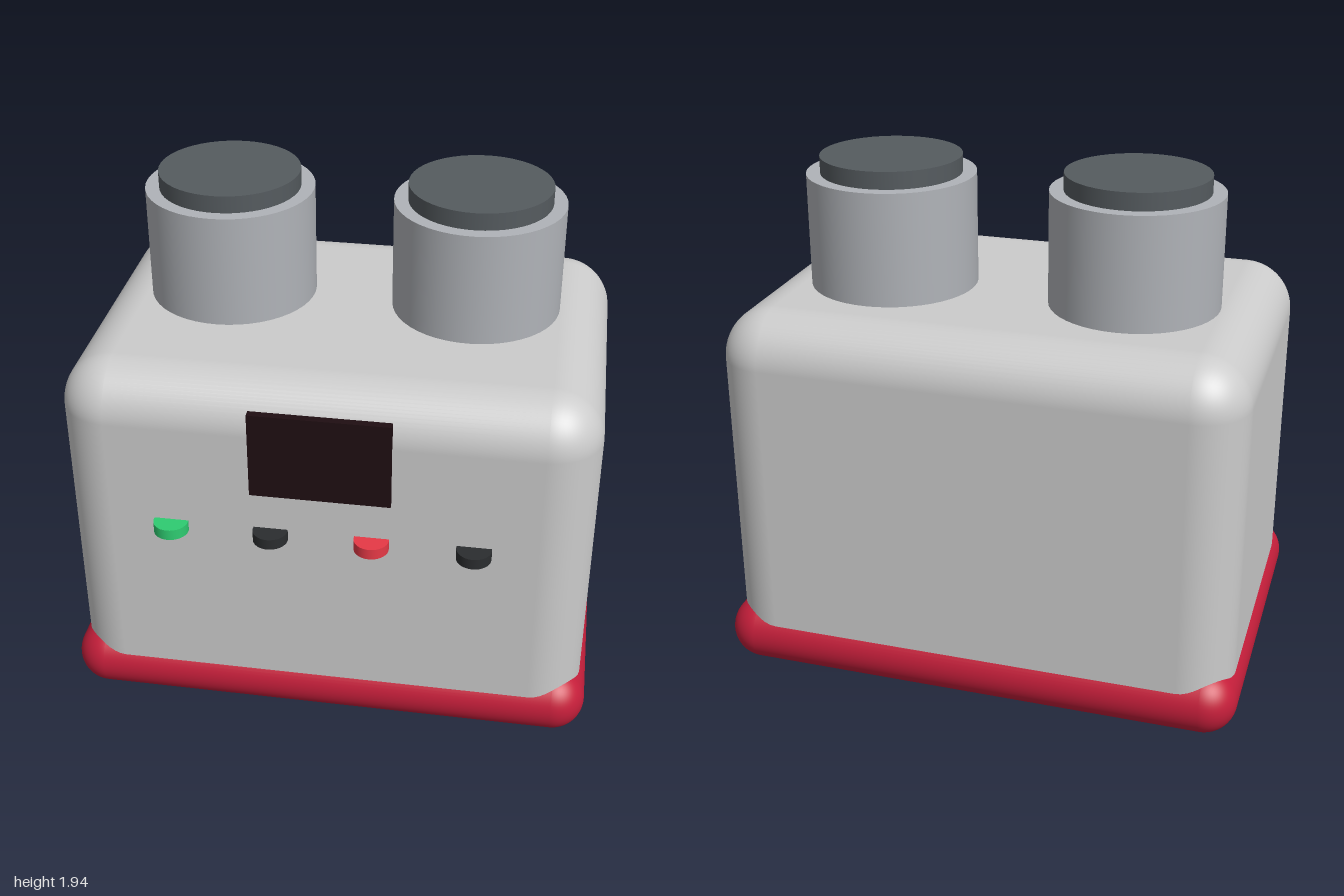
import * as THREE from 'three';
import { RoundedBoxGeometry } from 'three/addons/geometries/RoundedBoxGeometry.js';

export function createModel() {
  const model = new THREE.Group();
  model.name = 'machine';

  const add = (name, geometry, color, x, y, z) => {
    const mesh = new THREE.Mesh(geometry, new THREE.MeshStandardMaterial({ color }));
    mesh.name = name;
    mesh.position.set(x, y, z);
    model.add(mesh);
    return mesh;
  };

  const midZ = -0.025;

  // Rounded housing, its underside just inside the base
  add('body', new RoundedBoxGeometry(1.95, 1.448, 1.36, 8, 0.19), 0xcccccc, 0, 0.726, midZ);

  // Red bumper around the foot
  add('base', new RoundedBoxGeometry(2, 0.25, 1.4, 8, 0.1249), 0xc41e3a, 0, 0.125, midZ);

  // Two canisters on top, each with a dark lid
  for (const [side, x] of [['right', -0.467], ['left', 0.467]]) {
    add(side + 'Canister', new THREE.CylinderGeometry(0.317, 0.317, 0.435, 48), 0xb0b3b8, x, 1.6575, -0.113);
    add(side + 'Lid', new THREE.CylinderGeometry(0.265, 0.265, 0.075, 48), 0x555b5f, x, 1.9025, -0.113);
  }

  // Display panel on the front
  add('screen', new THREE.BoxGeometry(0.51, 0.335, 0.03), 0x1f0e12, -0.003, 1.195, 0.657);

  // Row of half-sunk disc buttons
  [0x2ecc71, 0x2b2d2f, 0xe63946, 0x2b2d2f].forEach((color, i) => {
    add('button' + (i + 1), new THREE.CylinderGeometry(0.064, 0.064, 0.042, 32), color,
      -0.557 + i * 0.37, 0.855, 0.664);
  });

  return model;
}
